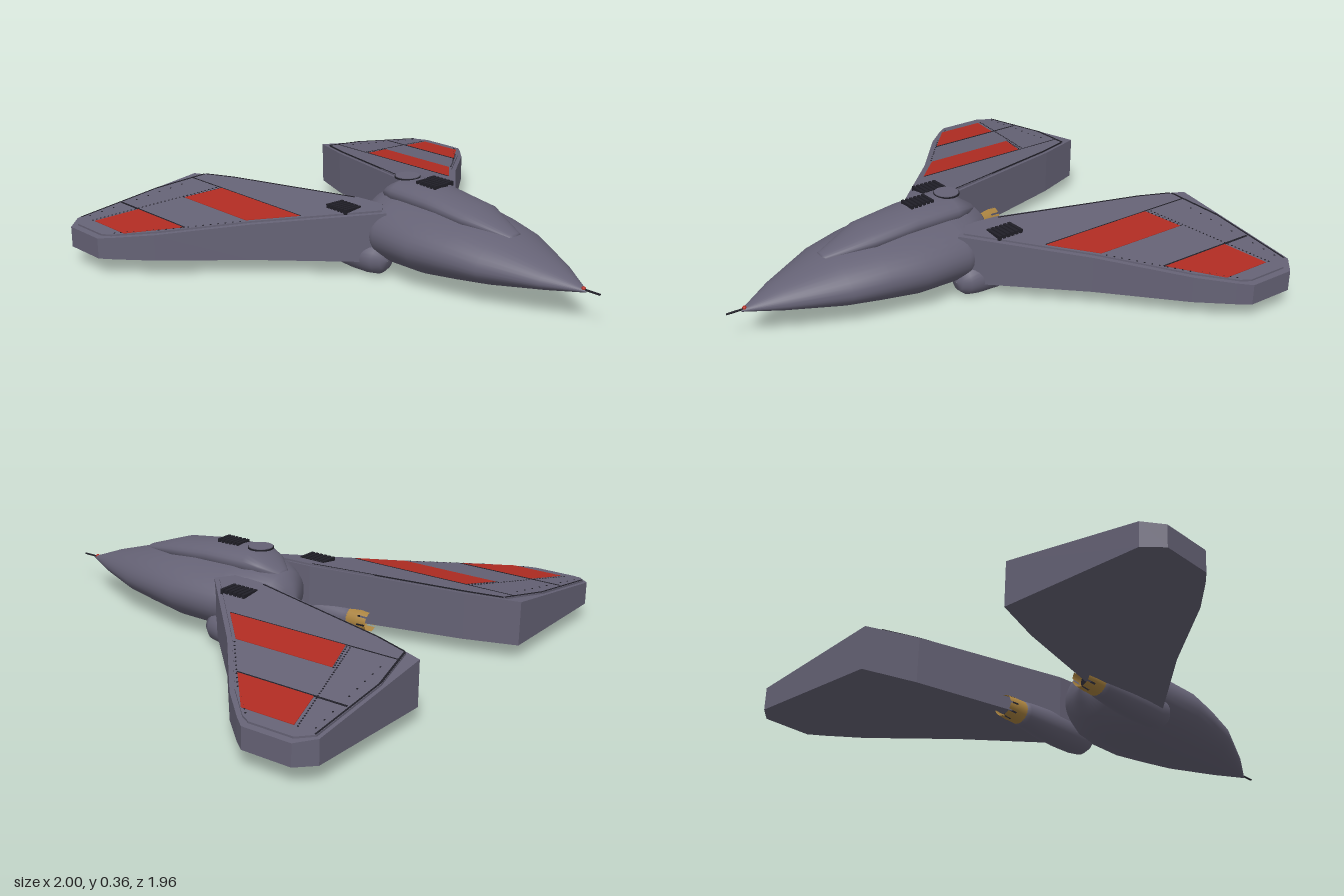
import * as THREE from 'three';
import { mergeGeometries } from 'three/addons/utils/BufferGeometryUtils.js';

const mat = (name, color, side = THREE.FrontSide) => {
  const m = new THREE.MeshStandardMaterial({ color, side });
  m.name = name;
  return m;
};

// Smooth loft through oval sections [z, halfWidth, midY, topY, bottomY], front to back
function loft(sections, n = 40) {
  const pos = [], idx = [];
  for (const [z, w, mid, top, bot] of sections) {
    for (let j = 0; j < n; j++) {
      const a = (j / n) * Math.PI * 2, s = Math.sin(a);
      pos.push(w * Math.cos(a), mid + s * (s > 0 ? top - mid : mid - bot), z);
    }
  }
  for (let i = 0; i < sections.length - 1; i++) {
    for (let j = 0; j < n; j++) {
      const a = i * n + j, b = i * n + ((j + 1) % n);
      idx.push(a, a + n, b, a + n, b + n, b);
    }
  }
  const g = new THREE.BufferGeometry();
  g.setAttribute('position', new THREE.Float32BufferAttribute(pos, 3));
  g.setIndex(idx);
  g.computeVertexNormals();
  return g;
}

// Wing upper and lower surfaces slope with the span
const topY = (x) => 0.266 - 0.135 * (Math.abs(x) - 0.2);
const bottomY = (x) => 0.058 + 0.01 * Math.abs(x);

// Extrude an [x, z] outline between two height rules, on side s
function plate(points, s, low, high) {
  const shape = new THREE.Shape(points.map(([x, z]) => new THREE.Vector2(s * x, -z)));
  const g = new THREE.ExtrudeGeometry(shape, { depth: 1, bevelEnabled: false });
  g.rotateX(-Math.PI / 2);
  const p = g.attributes.position;
  for (let i = 0; i < p.count; i++) {
    const x = p.getX(i);
    p.setY(i, p.getY(i) > 0.5 ? high(x) : low(x));
  }
  g.computeVertexNormals();
  return g;
}
const onSkin = (points, s, lift) => plate(points, s, (x) => topY(x) - 0.003, (x) => topY(x) + lift);

// Thin strip between two [x, z] points
function strip([ax, az], [bx, bz], s, w) {
  const l = Math.hypot(bx - ax, bz - az), nx = (-(bz - az) / l) * w / 2, nz = ((bx - ax) / l) * w / 2;
  return onSkin([[ax + nx, az + nz], [bx + nx, bz + nz], [bx - nx, bz - nz], [ax - nx, az - nz]], s, 0.0015);
}

// Row of small square rivets
function rivets([ax, az], [bx, bz], count, s) {
  return Array.from({ length: count }, (_, i) => {
    const t = i / (count - 1), x = ax + (bx - ax) * t, z = az + (bz - az) * t, r = 0.0025;
    return onSkin([[x - r, z - r], [x + r, z - r], [x + r, z + r], [x - r, z + r]], s, 0.002);
  });
}

export function createModel() {
  const model = new THREE.Group();
  const hull = mat('hull grey', 0x656275);
  const red = mat('marking red', 0xb02c22);
  const gold = mat('nozzle gold', 0xa9823f, THREE.DoubleSide);
  const dark = mat('dark trim', 0x201f27);
  const add = (name, geo, m, parent = model, x = 0, y = 0, z = 0) => {
    const mesh = new THREE.Mesh(geo, m);
    mesh.name = name;
    mesh.position.set(x, y, z);
    parent.add(mesh);
    return mesh;
  };

  // Body and raised canopy
  add('fuselage', loft([
    [0.92, 0.003, 0.125, 0.129, 0.121], [0.77, 0.09, 0.135, 0.188, 0.096],
    [0.55, 0.19, 0.15, 0.255, 0.062], [0.4, 0.226, 0.16, 0.28, 0.042],
    [0.25, 0.255, 0.165, 0.295, 0.025], [0.05, 0.248, 0.165, 0.303, 0.02],
    [-0.04, 0.215, 0.165, 0.3, 0.022], [-0.13, 0.13, 0.165, 0.275, 0.06],
    [-0.17, 0.06, 0.165, 0.235, 0.11], [-0.19, 0.002, 0.165, 0.167, 0.163],
  ]), hull);
  add('canopy', loft([
    [0.575, 0.002, 0.245, 0.247, 0.243], [0.57, 0.032, 0.245, 0.258, 0.22],
    [0.385, 0.1, 0.283, 0.322, 0.23], [0.19, 0.105, 0.3, 0.35, 0.24],
    [0.0, 0.107, 0.305, 0.357, 0.24], [-0.06, 0.085, 0.298, 0.327, 0.24],
    [-0.125, 0.032, 0.27, 0.284, 0.22], [-0.13, 0.002, 0.26, 0.262, 0.258],
  ], 24), hull);

  // Roof hatch with a dark rim, and the roof vent
  add('hatchRim', new THREE.CylinderGeometry(0.052, 0.052, 0.006, 32), dark, model, 0, 0.355, -0.012);
  add('hatch', new THREE.CylinderGeometry(0.049, 0.049, 0.006, 32), hull, model, 0, 0.358, -0.012);
  for (let i = 0; i < 6; i++) {
    add('roofVentSlat', new THREE.BoxGeometry(0.072, 0.014, 0.011), dark, model, 0, 0.355, 0.08 + i * 0.019);
  }

  // Nose probe
  add('noseTip', new THREE.SphereGeometry(0.009, 16, 10), red, model, 0, 0.132, 0.905);
  add('noseProbe', new THREE.CylinderGeometry(0.004, 0.004, 0.09, 8).rotateX(Math.PI / 2), dark, model, 0, 0.13, 0.935);

  for (const s of [1, -1]) {
    const wing = new THREE.Group();
    wing.name = s > 0 ? 'leftWing' : 'rightWing';
    model.add(wing);

    // Thick slab with a slightly raised inset skin
    add('wingSlab', plate([
      [0.19, 0.07], [0.56, -0.3], [0.85, -0.55], [0.96, -0.67], [1, -0.72], [1, -0.92], [0.935, -0.98],
      [0.36, -0.98], [0.29, -0.775], [0.14, -0.15], [0.13, 0],
    ], s, bottomY, (x) => topY(x) - 0.007), hull, wing);
    add('wingSkin', plate([
      [0.19, 0.045], [0.55, -0.315], [0.835, -0.56], [0.955, -0.69], [0.975, -0.73], [0.975, -0.91],
      [0.93, -0.965], [0.57, -0.965], [0.352, -0.92], [0.305, -0.775], [0.155, -0.15], [0.145, 0],
    ], s, (x) => topY(x) - 0.012, topY), hull, wing);

    // Red panels
    add('innerRedPanel', onSkin([[0.41, -0.71], [0.56, -0.76], [0.56, -0.34], [0.41, -0.19]], s, 0.002), red, wing);
    add('outerRedPanel', onSkin([[0.747, -0.82], [0.92, -0.87], [0.92, -0.655], [0.747, -0.5]], s, 0.002), red, wing);

    // Panel seams and rivets
    add('panelSeams', mergeGeometries([
      strip([0.744, -0.95], [0.744, -0.495], s, 0.008),
      strip([0.407, -0.925], [0.407, -0.19], s, 0.004),
      strip([0.352, -0.915], [0.57, -0.96], s, 0.008),
      strip([0.57, -0.96], [0.93, -0.96], s, 0.006),
      strip([0.348, -0.91], [0.303, -0.77], s, 0.005),
      strip([0.303, -0.77], [0.16, -0.15], s, 0.005),
    ]), dark, wing);
    add('rivets', mergeGeometries([
      ...rivets([0.42, -0.735], [0.92, -0.885], 34, s),
      ...rivets([0.42, -0.72], [0.56, -0.765], 10, s),
      ...rivets([0.58, -0.35], [0.82, -0.56], 12, s),
      ...rivets([0.83, -0.58], [0.94, -0.69], 7, s),
      ...rivets([0.48, -0.9], [0.9, -0.94], 9, s),
    ]), dark, wing);

    // Wing root vent
    for (let i = 0; i < 6; i++) {
      add('wingVentSlat', new THREE.BoxGeometry(0.082, 0.02, 0.013), dark, wing, s * 0.255, 0.259, -0.056 - i * 0.0205);
    }

    // Engine pod under the wing root, turned about the z axis
    const engine = new THREE.Group();
    engine.name = s > 0 ? 'leftEngine' : 'rightEngine';
    engine.position.set(s * 0.2, 0.07, 0);
    model.add(engine);
    const pod = [[0.001, -0.34], [0.044, -0.34], [0.05, -0.3], [0.064, -0.18], [0.068, -0.09],
      [0.066, 0], [0.058, 0.05], [0.035, 0.078], [0.001, 0.085]].map(([r, z]) => new THREE.Vector2(r, z));
    add('enginePod', new THREE.LatheGeometry(pod, 28).rotateX(Math.PI / 2), hull, engine);

    // Nozzle collar and petals with notches between them
    add('nozzleCollar', new THREE.CylinderGeometry(0.047, 0.045, 0.05, 24, 1, true).rotateX(Math.PI / 2), gold, engine, 0, 0, -0.345);
    add('nozzleCore', new THREE.CylinderGeometry(0.04, 0.04, 0.02, 24).rotateX(Math.PI / 2), dark, engine, 0, 0, -0.355);
    for (let i = 0; i < 8; i++) {
      const a = (i / 8) * Math.PI * 2;
      add('nozzlePetal', new THREE.CylinderGeometry(0.046, 0.042, 0.045, 4, 1, true, a, 0.62).rotateX(Math.PI / 2), gold, engine, 0, 0, -0.388);
    }
  }
  return model;
}
